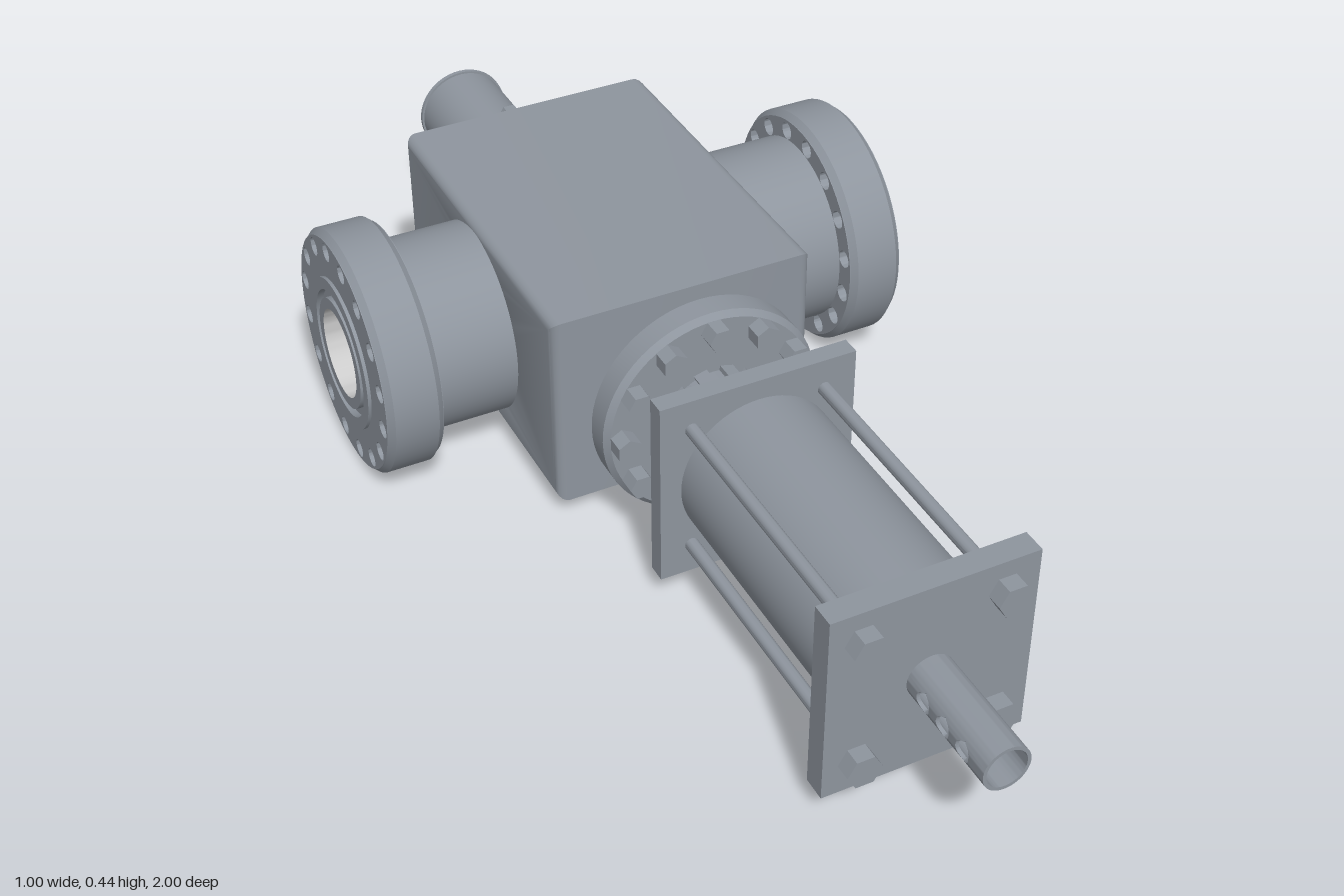
import * as THREE from 'three';
import { toCreasedNormals } from 'three/addons/utils/BufferGeometryUtils.js';

const steel = new THREE.MeshStandardMaterial({ color: 0x8e959e });
const steelDouble = new THREE.MeshStandardMaterial({ color: 0x8e959e, side: THREE.DoubleSide });
const lightGrey = new THREE.MeshStandardMaterial({ color: 0xcccccc });
const AXIS_Y = 0.221, PORT_Z = -0.33;

function add(parent, name, geometry, material = steel) {
  const mesh = new THREE.Mesh(geometry, material);
  mesh.name = name;
  parent.add(mesh);
  return mesh;
}

// Turned part along +z; profile is [radius, z] pairs
function turned(profile, segments = 64) {
  const g = new THREE.LatheGeometry(profile.map(([r, z]) => new THREE.Vector2(r, z)), segments);
  return toCreasedNormals(g.rotateX(Math.PI / 2), 0.5);
}

// Straight cylinder or prism along z between z0 and z1
function rod(radius, z0, z1, sides = 24) {
  const g = new THREE.CylinderGeometry(radius, radius, z1 - z0, sides);
  return toCreasedNormals(g.rotateX(Math.PI / 2).translate(0, 0, (z0 + z1) / 2), 0.5);
}

function circlePath(x, y, r) {
  return new THREE.Path().absarc(x, y, r, 0, Math.PI * 2, true);
}

// Ring of hexagonal bolts around the z axis
function boltCircle(parent, name, count, ringRadius, boltRadius, z0, z1) {
  for (let i = 0; i < count; i++) {
    const a = (i / count) * Math.PI * 2;
    const bolt = add(parent, name, rod(boltRadius, z0, z1, 6));
    bolt.position.set(Math.cos(a) * ringRadius, Math.sin(a) * ringRadius, 0);
    bolt.rotation.z = a;
  }
}

// Disc with a chamfered rim
function flange(r, z0, z1, c = 0.01) {
  return turned([[0, z0], [r - c, z0], [r, z0 + c], [r, z1 - c], [r - c, z1], [0, z1]]);
}

// Valve block with rounded side edges, pierced from side to side for the flow bore
function bodyGeometry() {
  const b = 0.02, x = 0.33 - b, y = 0.1865 - b;
  const s = new THREE.Shape();
  s.moveTo(-x, -y).lineTo(x, -y).lineTo(x, y).lineTo(-x, y).closePath();
  s.holes.push(circlePath(0, 0, 0.12));
  const g = new THREE.ExtrudeGeometry(s, {
    depth: 0.48 - 2 * b, bevelSize: b, bevelThickness: b, bevelSegments: 5, curveSegments: 16,
  });
  return toCreasedNormals(g.translate(0, 0, -0.24 + b).rotateY(Math.PI / 2), 0.6);
}

// Flow port built along +z: hub with seal groove, bore lining, drilled flange, rim
function makePort() {
  const port = new THREE.Group();
  add(port, 'portHub', turned([
    [0.1, 0.23], [0.172, 0.23], [0.172, 0.395], [0.137, 0.395], [0.137, 0.5], [0.115, 0.5],
    [0.115, 0.488], [0.1, 0.488], [0.1, 0.5], [0.08, 0.5],
  ]));
  add(port, 'boreLining', turned([[0.08, 0.5], [0.08, 0.01]]), lightGrey);
  const s = new THREE.Shape().absarc(0, 0, 0.21, 0, Math.PI * 2, false);
  s.holes.push(circlePath(0, 0, 0.136));
  for (let i = 0; i < 16; i++) {
    const a = ((i + 0.5) / 16) * Math.PI * 2;
    s.holes.push(circlePath(Math.cos(a) * 0.189, Math.sin(a) * 0.189, 0.0165));
  }
  const plate = new THREE.ExtrudeGeometry(s, { depth: 0.102, bevelEnabled: false, curveSegments: 32 });
  add(port, 'portFlange', toCreasedNormals(plate.translate(0, 0, 0.392), 0.5));
  add(port, 'portFlangeRim', turned([
    [0.209, 0.392], [0.22, 0.404], [0.22, 0.482], [0.209, 0.494],
  ]));
  return port;
}

// Neck with shallow lengthwise ribs
function ribbedNeck(z0, z1) {
  const s = new THREE.Shape(), n = 12;
  for (let i = 0; i < n; i++) {
    [[0, 0.086], [0.25, 0.086], [0.25, 0.095], [0.75, 0.095], [0.75, 0.086]].forEach(([t, r], k) => {
      const a = ((i + t) / n) * Math.PI * 2;
      s[i + k ? 'lineTo' : 'moveTo'](Math.cos(a) * r, Math.sin(a) * r);
    });
  }
  const g = new THREE.ExtrudeGeometry(s, { depth: z1 - z0, bevelEnabled: false });
  return g.translate(0, 0, z0);
}

// Hollow stem along z with cross-drilled holes, made from lengthwise strips
function drilledStem(outer, inner, z0, z1, centres, holeRadius, n = 72) {
  const pos = [];
  const quad = (a, b, c, d) => pos.push(...a, ...b, ...c, ...a, ...c, ...d);
  const stops = (a) => {
    const y = outer * Math.sin(a), h = Math.sqrt(Math.max(0, holeRadius ** 2 - y * y));
    return [z0, ...centres.flatMap((c) => [c - h, c + h]), z1];
  };
  for (let i = 0; i < n; i++) {
    const a = (i / n) * Math.PI * 2, b = ((i + 1) / n) * Math.PI * 2;
    const sa = stops(a), sb = stops(b);
    const p = (r, t, z) => [r * Math.cos(t), r * Math.sin(t), z];
    sa.forEach((za, k) => {
      const zb = sb[k];
      if (k % 2 === 0) {
        quad(p(outer, a, za), p(outer, b, zb), p(outer, b, sb[k + 1]), p(outer, a, sa[k + 1]));
        quad(p(inner, b, zb), p(inner, a, za), p(inner, a, sa[k + 1]), p(inner, b, sb[k + 1]));
        quad(p(inner, a, za), p(inner, b, zb), p(outer, b, zb), p(outer, a, za));
      } else {
        quad(p(outer, a, za), p(outer, b, zb), p(inner, b, zb), p(inner, a, za));
      }
    });
  }
  const g = new THREE.BufferGeometry();
  g.setAttribute('position', new THREE.Float32BufferAttribute(pos, 3));
  return toCreasedNormals(g, 0.5);
}

export function createModel() {
  const model = new THREE.Group();
  model.name = 'gateValve';
  const valve = new THREE.Group();
  valve.name = 'valveAssembly';
  valve.position.y = AXIS_Y;
  model.add(valve);

  // Block, closed gate and the two flow ports
  add(valve, 'valveBody', bodyGeometry()).position.z = PORT_Z;
  const gate = add(valve, 'gate', rod(0.09, -0.02, 0.02, 48), lightGrey);
  gate.position.z = PORT_Z;
  gate.rotation.y = Math.PI / 2;
  for (const side of [1, -1]) {
    const port = makePort();
    port.name = side > 0 ? 'leftPort' : 'rightPort';
    port.position.z = PORT_Z;
    port.rotation.y = side * Math.PI / 2;
    valve.add(port);
  }

  // Front bonnet
  add(valve, 'bonnetNeck', rod(0.12, -0.01, 0.05, 48));
  add(valve, 'bonnetFlange', flange(0.198, 0.042, 0.105));
  boltCircle(valve, 'bonnetBolt', 12, 0.168, 0.023, 0.1, 0.138);
  add(valve, 'ribbedNeck', ribbedNeck(0.1, 0.235));

  // Actuator: cylinder between two square plates, tied by four rods
  for (const [name, z, depth] of [['innerPlate', 0.246, 0.034], ['outerPlate', 0.775, 0.042]]) {
    add(valve, name, new THREE.BoxGeometry(0.35, 0.35, depth)).position.z = z;
  }
  add(valve, 'actuatorCylinder', rod(0.138, 0.255, 0.765, 64));
  for (const x of [-0.119, 0.119]) {
    for (const y of [-0.119, 0.119]) {
      const tie = new THREE.Group();
      tie.name = 'tieRod';
      tie.position.set(x, y, 0);
      add(tie, 'tieRodShaft', rod(0.012, 0.22, 0.79, 16));
      add(tie, 'outerNut', rod(0.03, 0.79, 0.825, 6).rotateZ(Math.PI / 6));
      add(tie, 'innerNut', rod(0.018, 0.212, 0.235, 6).rotateZ(Math.PI / 6));
      valve.add(tie);
    }
  }
  for (const z of [0.315, 0.695]) {
    const fitting = add(valve, 'airFitting', rod(0.007, 0.13, 0.155, 12));
    fitting.position.z = z;
    fitting.rotation.y = Math.PI / 2;
  }
  add(valve, 'stem', drilledStem(0.04, 0.034, 0.785, 1, [0.84, 0.893, 0.945], 0.017), steelDouble);

  // Rear flange and closed tail tube
  add(valve, 'rearNeck', rod(0.115, -0.69, -0.65, 48));
  add(valve, 'rearFlange', flange(0.146, -0.718, -0.676, 0.005));
  boltCircle(valve, 'rearBolt', 12, 0.123, 0.021, -0.746, -0.71);
  add(valve, 'tailTube', rod(0.084, -0.995, -0.7, 48));
  add(valve, 'tailCap', rod(0.088, -1, -0.992, 48));
  return model;
}
